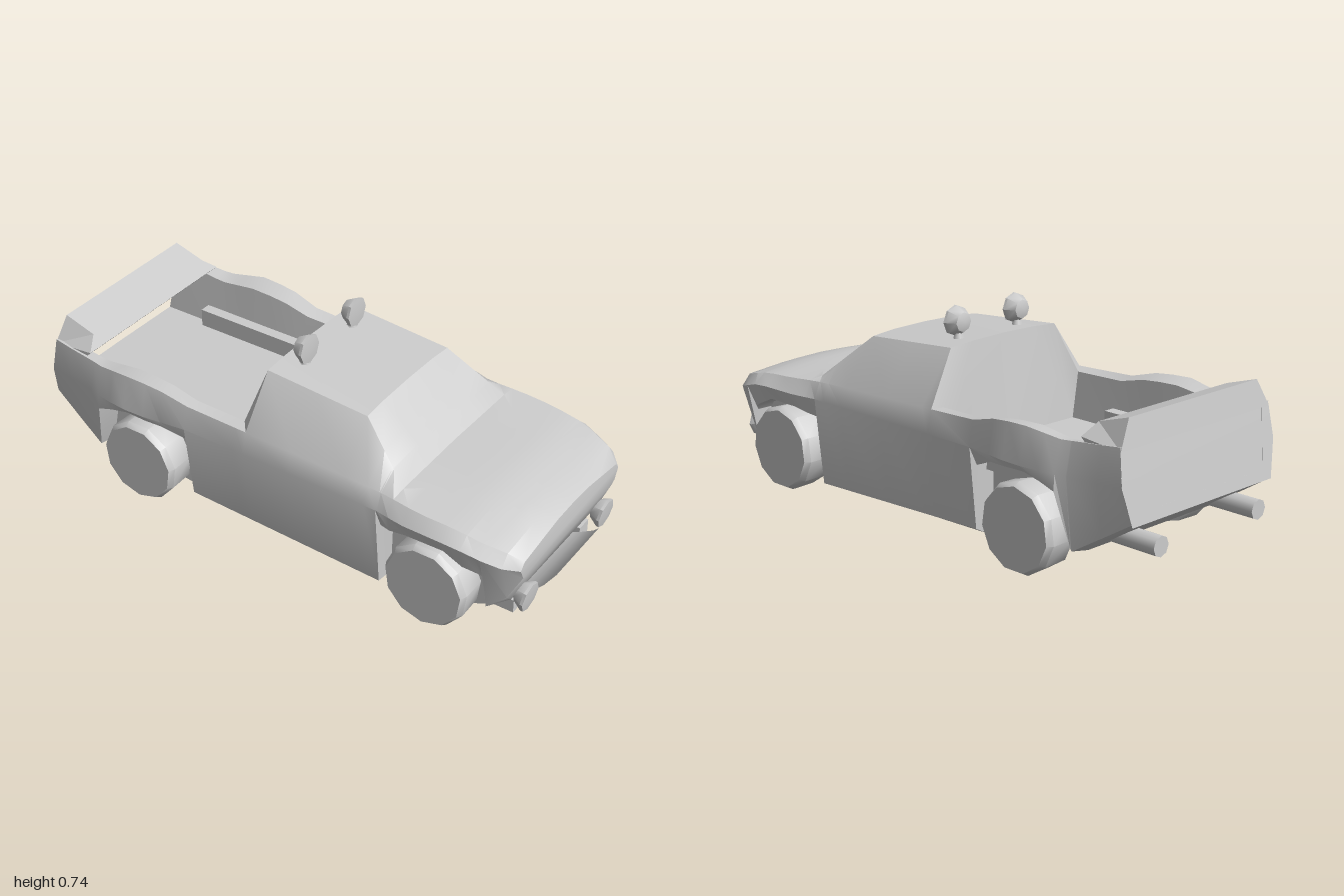
import * as THREE from 'three';
import { toCreasedNormals } from 'three/addons/utils/BufferGeometryUtils.js';

// piecewise-linear lookup in a list of [x, value] keys
function at(keys, x) {
  if (x <= keys[0][0]) return keys[0][1];
  for (let i = 1; i < keys.length; i++) {
    const [x0, v0] = keys[i - 1], [x1, v1] = keys[i];
    if (x <= x1) return v0 + (v1 - v0) * (x - x0) / (x1 - x0);
  }
  return keys[keys.length - 1][1];
}

// outlines of the body along its length
const bottomY = [[-.97, .25], [-.75, .11], [-.33, .05], [.45, .05], [.75, .06], [.84, .1], [.9, .15], [.945, .26]];
const lowerY = [[-.97, .26], [-.75, .125], [-.74, .17], [-.71, .32], [-.6, .355], [-.43, .35], [-.335, .31],
  [-.33, .09], [.445, .06], [.45, .3], [.52, .325], [.7, .325], [.82, .27], [.835, .25], [.84, .13], [.9, .18], [.945, .27]];
const lowerZ = [[-.97, .34], [-.75, .37], [-.71, .41], [-.45, .41], [-.33, .37], [.445, .37], [.5, .4], [.8, .395], [.84, .35], [.945, .31]];
const midY = [[.75, .375], [.9, .33], [.945, .31]];
const midZ = [[-.97, .37], [-.8, .385], [-.7, .41], [-.6, .425], [-.5, .422], [-.33, .4], [.45, .4],
  [.55, .417], [.75, .42], [.85, .395], [.9, .375], [.945, .33]];
const beltY = [[-.97, .5], [-.8, .49], [-.72, .48], [-.58, .5], [-.45, .495], [-.32, .46], [-.13, .455],
  [.3, .44], [.5, .43], [.75, .41], [.9, .37], [.945, .335]];
const beltZ = [[-.97, .36], [-.75, .375], [-.58, .4], [-.45, .395], [-.3, .38], [-.13, .38], [.45, .375], [.6, .385], [.8, .37], [.9, .34], [.945, .31]];
const rimY = [[-.97, .495], [-.8, .48], [-.72, .47], [-.58, .488], [-.45, .483], [-.32, .452], [-.13, .45],
  [-.085, .63], [.31, .6], [.5, .437], [.75, .425], [.9, .385], [.945, .355]];
const rimZ = [[-.13, .325], [-.085, .248], [.31, .245], [.5, .32], [.62, .22], [.945, .18]];
const topY = [[-.13, .29], [-.085, .64], [.31, .612], [.4, .53], [.5, .443], [.75, .432], [.9, .392], [.945, .37]];
const topZ = [[-.13, .3], [-.085, .15], [.5, .15], [.945, .1]];
const stations = [-.97, -.86, -.752, -.748, -.71, -.65, -.58, -.5, -.43, -.335, -.33, -.13, -.085, .1, .31, .4,
  .445, .45, .5, .56, .63, .7, .77, .82, .835, .84, .9, .945];

function section(x) {
  const inArch = (x > -.75 && x < -.332) || (x > .447 && x < .838);
  const yb = at(bottomY, x), yl = at(lowerY, x), inner = Math.min(.295, at(lowerZ, x) - .02);
  const half = [[0, yb], [inner, yb], [inner, inArch ? yl : yb], [at(lowerZ, x), yl], [at(midZ, x), at(midY, x)],
    [at(beltZ, x), at(beltY, x)], [at(rimZ, x), at(rimY, x)], [at(topZ, x), at(topY, x) - .003], [0, at(topY, x)]];
  const mirrored = half.slice(1, 8).reverse().map(([z, y]) => [-z, y]);
  // the tail leans forward towards its top
  return [...half, ...mirrored].map(([z, y]) => [x < -.96 ? x + .15 * (y - .25) : x, y, z]);
}

function meshGeometry(points, index, crease = .6) {
  const g = new THREE.BufferGeometry();
  g.setAttribute('position', new THREE.Float32BufferAttribute(points.flat(), 3));
  g.setIndex(index);
  return toCreasedNormals(g.toNonIndexed(), crease);
}

function bodyGeometry() {
  const points = stations.flatMap(section), index = [], n = 16;
  for (let i = 0; i < stations.length - 1; i++) {
    for (let j = 0; j < n; j++) {
      const a = i * n + j, b = i * n + (j + 1) % n;
      index.push(a, a + n, b, b, a + n, b + n);
    }
  }
  // nose cap
  const base = (stations.length - 1) * n;
  points.push([.95, .31, 0]);
  for (let j = 0; j < n; j++) index.push(points.length - 1, base + (j + 1) % n, base + j);
  return meshGeometry(points, index);
}

export function createModel() {
  const model = new THREE.Group();
  const grey = new THREE.MeshStandardMaterial({ color: 0xcccccc });
  grey.name = 'light grey';
  const greyThin = grey.clone();
  greyThin.side = THREE.DoubleSide;

  function add(name, geometry, x = 0, y = 0, z = 0, material = grey) {
    const m = new THREE.Mesh(geometry, material);
    m.name = name;
    m.position.set(x, y, z);
    model.add(m);
    return m;
  }
  const lathe = (pts, sides, crease) =>
    toCreasedNormals(new THREE.LatheGeometry(pts.map(p => new THREE.Vector2(...p)), sides).toNonIndexed(), crease);

  add('body', bodyGeometry());

  // tailgate, a single face looking backwards
  add('tailgate', meshGeometry(
    [[-.97, .25, -.34], [-.97, .25, .34], [-.95, .38, .37], [-.95, .38, -.37], [-.93, .5, .36], [-.93, .5, -.36]],
    [0, 1, 2, 0, 2, 3, 3, 2, 4, 3, 4, 5]));

  // rear wing bridging the bed sides, narrower along its top
  const wing = new THREE.Shape([[-.935, .485], [-.79, .485], [-.775, .5], [-.80, .543], [-.92, .58]].map(p => new THREE.Vector2(...p)));
  const wingGeometry = new THREE.ExtrudeGeometry(wing, { depth: .72, bevelEnabled: false }).translate(0, 0, -.36);
  const p = wingGeometry.attributes.position;
  for (let i = 0; i < p.count; i++) if (p.getY(i) > .53) p.setZ(i, p.getZ(i) * .86);
  wingGeometry.computeVertexNormals();
  add('rearWing', wingGeometry);

  // parts repeated on both sides
  const wheel = lathe([[0, -.058], [.152, -.058], [.155, .035], [.143, .057], [0, .057]], 11, .65);
  const lamp = lathe([[0, -.045], [.034, -.034], [.053, 0], [.053, .01], [0, .015]], 8, .7);
  const pipe = new THREE.CylinderGeometry(.035, .035, .27, 8);
  for (const s of [1, -1]) {
    const side = s > 0 ? 'Right' : 'Left';
    for (const [end, x] of [['rear', -.545], ['front', .64]])
      add(end + 'Wheel' + side, wheel, x, .155, s * .358).rotation.x = s * Math.PI / 2;
    add('headlight' + side, lamp, .94, .16, s * .26).rotation.z = -Math.PI / 2 - .12;
    add('roofLight' + side, lamp, 0, .69, s * .14).rotation.z = -Math.PI / 2;
    add('roofLightStand' + side, new THREE.CylinderGeometry(.012, .022, .03, 6), -.01, .64, s * .14);
    add('exhaust' + side, pipe, -.865, .175, s * .24).rotation.z = Math.PI / 2;
    add('bumperStrut' + side, new THREE.BoxGeometry(.14, .05, .06), .82, .085, s * .225);
    add('bedWheelBox' + side, new THREE.BoxGeometry(.47, .07, .06), -.545, .32, s * .297);
  }

  // curved front guard, sweeping forward and up
  const rows = [[.76, .065, .19], [.84, .07, .195], [.9, .1, .195], [.95, .145, .17], [.98, .185, .145], [1, .225, .12]];
  const guardIndex = [];
  for (let i = 0; i < rows.length - 1; i++) guardIndex.push(2 * i, 2 * i + 2, 2 * i + 1, 2 * i + 1, 2 * i + 2, 2 * i + 3);
  add('frontGuard', meshGeometry(rows.flatMap(([x, y, w]) => [[x, y, -w], [x, y, w]]), guardIndex, 1), 0, 0, 0, greyThin);

  return model;
}
